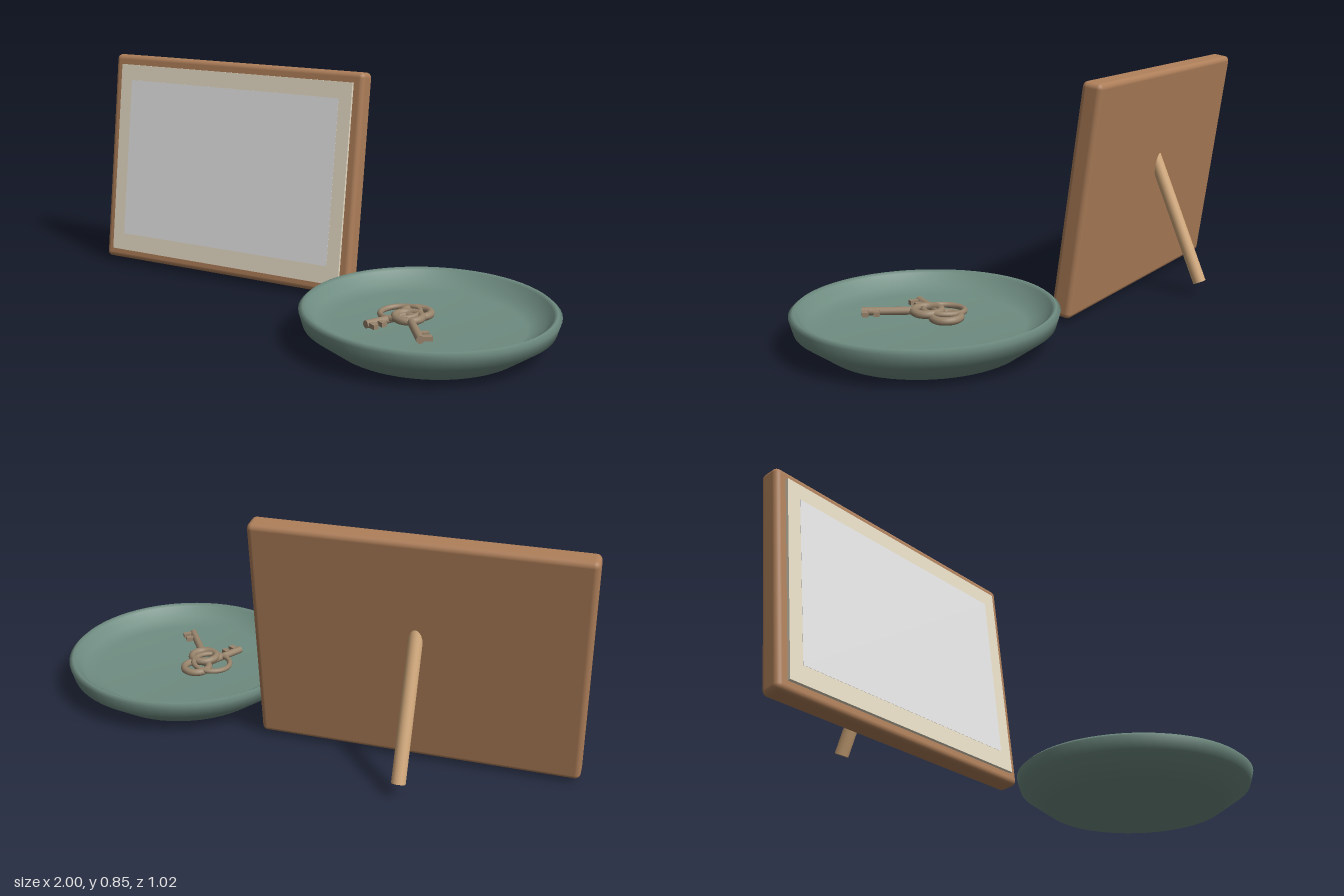
import * as THREE from 'three';
import { RoundedBoxGeometry } from 'three/addons/geometries/RoundedBoxGeometry.js';

const material = (name, color, side = THREE.FrontSide) => {
  const m = new THREE.MeshStandardMaterial({ color, side });
  m.name = name;
  return m;
};

function addMesh(parent, name, geometry, mat, x = 0, y = 0, z = 0) {
  const mesh = new THREE.Mesh(geometry, mat);
  mesh.name = name;
  mesh.position.set(x, y, z);
  parent.add(mesh);
  return mesh;
}

// Key lying flat: ring bow at the origin, shaft along +z, teeth on +x
function makeKey(name, mat) {
  const key = new THREE.Group();
  key.name = name;
  addMesh(key, 'bow', new THREE.TorusGeometry(0.047, 0.014, 10, 32).rotateX(Math.PI / 2), mat);
  addMesh(key, 'shaft', new THREE.CylinderGeometry(0.014, 0.014, 0.175, 12).rotateX(Math.PI / 2), mat, 0, 0, 0.132);
  for (const [z, length] of [[0.168, 0.038], [0.205, 0.042]]) {
    addMesh(key, 'tooth', new THREE.BoxGeometry(length, 0.016, 0.02), mat, length / 2, 0, z);
  }
  return key;
}

export function createModel() {
  const model = new THREE.Group();
  model.name = 'pictureFrameAndKeyDish';

  const wood = material('frame wood', 0xad7e59);
  const lightWood = material('stand wood', 0xd2a97c);
  const cream = material('cream mat', 0xe8dec7);
  const grey = material('picture grey', 0xe6e6e7);
  const green = material('dish green', 0x6f8c81, THREE.DoubleSide);
  const bronze = material('key bronze', 0x98846c);

  // Leaning picture frame
  const frame = new THREE.Group();
  frame.name = 'pictureFrame';
  frame.position.set(-0.435, 0.433, -0.262);
  frame.rotation.x = -0.143;
  model.add(frame);
  const depth = 0.078;
  addMesh(frame, 'frameBody', new RoundedBoxGeometry(1.13, 0.843, depth, 3, 0.02), wood);
  addMesh(frame, 'mat', new THREE.BoxGeometry(1.05, 0.765, 0.014), cream, 0, -0.001, depth / 2 + 0.004);
  addMesh(frame, 'picture', new THREE.BoxGeometry(0.945, 0.635, 0.003), grey, 0, 0.002, depth / 2 + 0.0102);

  // Back stand, from the frame down to the table
  const top = new THREE.Vector3(-0.435, 0.52, -0.291);
  const foot = new THREE.Vector3(-0.435, 0.048, -0.49);
  const stand = addMesh(model, 'backStand',
    new THREE.CylinderGeometry(0.0245, 0.0245, top.distanceTo(foot), 20), lightWood);
  stand.position.copy(top).lerp(foot, 0.5);
  stand.quaternion.setFromUnitVectors(new THREE.Vector3(0, 1, 0), top.clone().sub(foot).normalize());

  // Shallow round dish
  const profile = [
    [0, 0], [0.333, 0], [0.433, 0.072], [0.447, 0.12], [0.432, 0.133],
    [0.418, 0.125], [0.39, 0.087], [0.335, 0.067], [0, 0.064],
  ].map(([r, y]) => new THREE.Vector2(r, y));
  addMesh(model, 'dish', new THREE.LatheGeometry(profile, 64), green, 0.552, 0, 0.065);

  // Two keys on a ring
  const keys = new THREE.Group();
  keys.name = 'keyBunch';
  keys.position.set(0.492, 0.082, 0.062);
  model.add(keys);
  const ring = addMesh(keys, 'keyRing',
    new THREE.TorusGeometry(0.07, 0.01, 10, 40).rotateX(Math.PI / 2), bronze, -0.046, 0.006, 0.004);
  ring.rotation.z = 0.08;
  for (const [name, y, z, turn] of [['leftKey', 0, -0.038, -0.51], ['rightKey', 0.01, 0.04, 0.59]]) {
    const key = makeKey(name, bronze);
    key.position.set(0, y, z);
    key.rotation.y = turn;
    keys.add(key);
  }

  return model;
}
